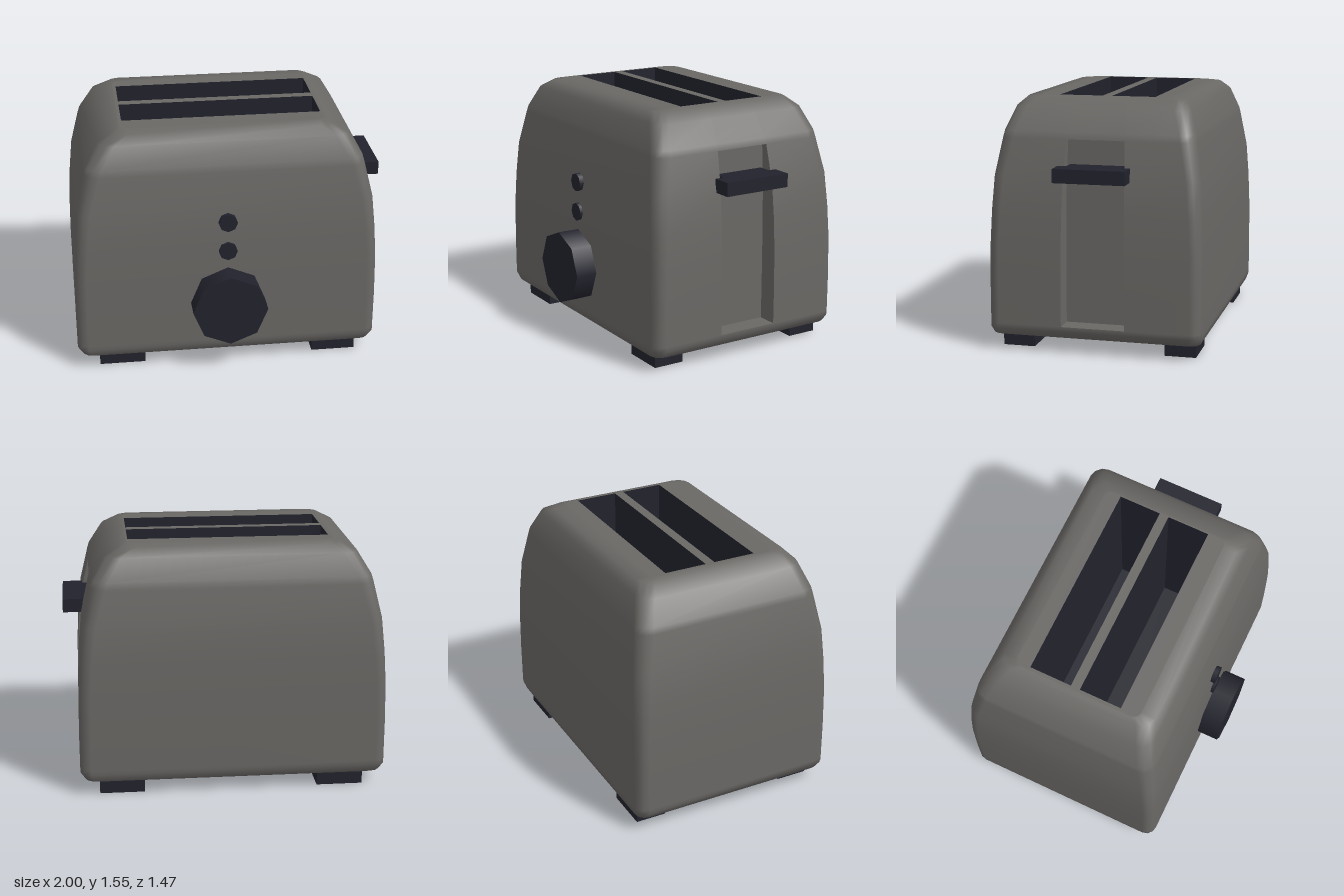
import * as THREE from 'three';

const steel = new THREE.MeshStandardMaterial({ color: 0x6a6865, side: THREE.DoubleSide });
steel.name = 'warm grey shell';
const dark = new THREE.MeshStandardMaterial({ color: 0x22222d });
dark.name = 'dark plastic';

// Shell cross-sections from bottom to top: y, half width, half depth, corner radius
const LEVELS = [
  [0.08, 0.80, 0.55, 0.05],
  [0.08, 0.88, 0.62, 0.06],
  [0.095, 0.93, 0.65, 0.065],
  [0.14, 0.96, 0.665, 0.07],
  [0.17, 0.96, 0.665, 0.07],
  [0.40, 0.961, 0.665, 0.07],
  [0.66, 0.957, 0.662, 0.07],
  [0.87, 0.945, 0.655, 0.075],
  [1.08, 0.925, 0.642, 0.08],
  [1.31, 0.872, 0.605, 0.09],
  [1.35, 0.86, 0.597, 0.09],
  [1.49, 0.775, 0.547, 0.09],
  [1.545, 0.675, 0.495, 0.08],
  [1.553, 0.64, 0.41, 0.05],
];
const GROOVE_FROM = 4, GROOVE_TO = 9, GROOVE_X = 0.83;
const SLOTS = [[-0.312, -0.042], [0.018, 0.288]];
const SLOT_X = [-0.62, 0.63], SLOT_FLOOR = 0.4;

// Rounded rectangle that starts with the two groove edges on the +x side
function ring([y, hx, hz, r]) {
  const g = hz * 0.297;
  const pts = [[hx, y, -g], [hx, y, g]];
  [[1, 1], [-1, 1], [-1, -1], [1, -1]].forEach(([sx, sz], q) => {
    for (let k = 0; k <= 3; k++) {
      const a = (q + k / 3) * Math.PI / 2;
      pts.push([sx * (hx - r) + r * Math.cos(a), y, sz * (hz - r) + r * Math.sin(a)]);
    }
  });
  return pts;
}

function mesh(name, geometry, material, x = 0, y = 0, z = 0) {
  const m = new THREE.Mesh(geometry, material);
  m.name = name;
  m.position.set(x, y, z);
  return m;
}

function surface(points, index) {
  const g = new THREE.BufferGeometry();
  g.setAttribute('position', new THREE.Float32BufferAttribute(points.flat(), 3));
  g.setIndex(index);
  g.computeVertexNormals();
  return g;
}

const box = (name, x0, x1, y0, y1, z0, z1) => mesh(name,
  new THREE.BoxGeometry(x1 - x0, y1 - y0, z1 - z0), dark,
  (x0 + x1) / 2, (y0 + y1) / 2, (z0 + z1) / 2);

function makeShell() {
  const shell = new THREE.Group();
  shell.name = 'shell';
  const rings = LEVELS.map(ring), n = rings[0].length;

  // Outer skin, left open where the lever groove is
  const index = [];
  for (let j = 0; j < rings.length - 1; j++) {
    for (let i = 0; i < n; i++) {
      if (i === 0 && j >= GROOVE_FROM && j < GROOVE_TO) continue;
      const k = (i + 1) % n, a = j * n + i, b = a + n, c = j * n + k, d = c + n;
      index.push(a, b, c, c, b, d);
    }
  }
  shell.add(mesh('outerSkin', surface(rings.flat(), index), steel));

  // Recessed lever groove: side walls, back and two ends
  const pts = [], tris = [];
  const quad = (a, b, c, d) => {
    const o = pts.length;
    pts.push(a, b, c, d);
    tris.push(o, o + 1, o + 2, o, o + 2, o + 3);
  };
  const inner = ([, y, z]) => [GROOVE_X, y, z];
  for (let j = GROOVE_FROM; j < GROOVE_TO; j++) {
    const [b0, f0] = rings[j], [b1, f1] = rings[j + 1];
    quad(b0, b1, inner(b1), inner(b0));
    quad(f0, inner(f0), inner(f1), f1);
    quad(inner(b0), inner(b1), inner(f1), inner(f0));
  }
  const [lb, lf] = rings[GROOVE_FROM], [tb, tf] = rings[GROOVE_TO];
  quad(lb, inner(lb), inner(lf), lf);
  quad(tb, tf, inner(tf), inner(tb));
  shell.add(mesh('leverGroove', surface(pts, tris), steel));

  // Top panel with two bread openings, and the underside
  const outline = (r) => new THREE.Shape(r.map(([x, , z]) => new THREE.Vector2(x, -z)));
  const top = outline(rings[rings.length - 1]);
  for (const [z0, z1] of SLOTS) {
    top.holes.push(new THREE.Path([[0, z0], [1, z0], [1, z1], [0, z1]]
      .map(([s, z]) => new THREE.Vector2(SLOT_X[s], -z))));
  }
  const topY = LEVELS[LEVELS.length - 1][0];
  shell.add(mesh('topPanel', new THREE.ShapeGeometry(top).rotateX(-Math.PI / 2), steel, 0, topY, 0));
  shell.add(mesh('underside', new THREE.ShapeGeometry(outline(rings[0])).rotateX(Math.PI / 2), steel, 0, LEVELS[0][0], 0));

  // Bread slot linings: open-topped boxes facing inwards
  for (const [z0, z1] of SLOTS) {
    const g = new THREE.BoxGeometry(SLOT_X[1] - SLOT_X[0], topY - SLOT_FLOOR, z1 - z0);
    g.setIndex([...g.index.array].filter((_, i) => i < 12 || i >= 18));
    g.scale(-1, 1, 1);
    g.computeVertexNormals();
    shell.add(mesh('breadSlot', g, dark, (SLOT_X[0] + SLOT_X[1]) / 2, (topY + SLOT_FLOOR) / 2, (z0 + z1) / 2));
  }
  shell.position.set(-0.04, 0, -0.068);
  return shell;
}

// Octagonal control on the front face
function control(name, y, radius, z0, z1) {
  const g = new THREE.CylinderGeometry(radius, radius, z1 - z0, 8).rotateX(Math.PI / 2);
  return mesh(name, g, dark, -0.04, y, (z0 + z1) / 2);
}

export function createModel() {
  const model = new THREE.Group();
  model.name = 'toaster';
  model.add(makeShell());

  // Front controls
  model.add(control('browningKnob', 0.447, 0.236, 0.56, 0.735));
  model.add(control('upperButton', 0.995, 0.059, 0.54, 0.607));
  model.add(control('lowerButton', 0.8, 0.059, 0.54, 0.607));

  // Push-down lever
  const lever = new THREE.Group();
  lever.name = 'lever';
  lever.add(box('leverHandle', 0.875, 1, 1.07, 1.155, -0.29, 0.155));
  lever.add(box('leverStem', 0.79, 0.88, 1.07, 1.155, -0.24, 0.1));
  model.add(lever);

  // Four feet
  for (const [x0, x1] of [[-0.86, -0.57], [0.52, 0.8]]) {
    for (const [z0, z1] of [[0.335, 0.535], [-0.685, -0.49]]) {
      model.add(box('foot', x0, x1, 0, 0.09, z0, z1));
    }
  }
  return model;
}
